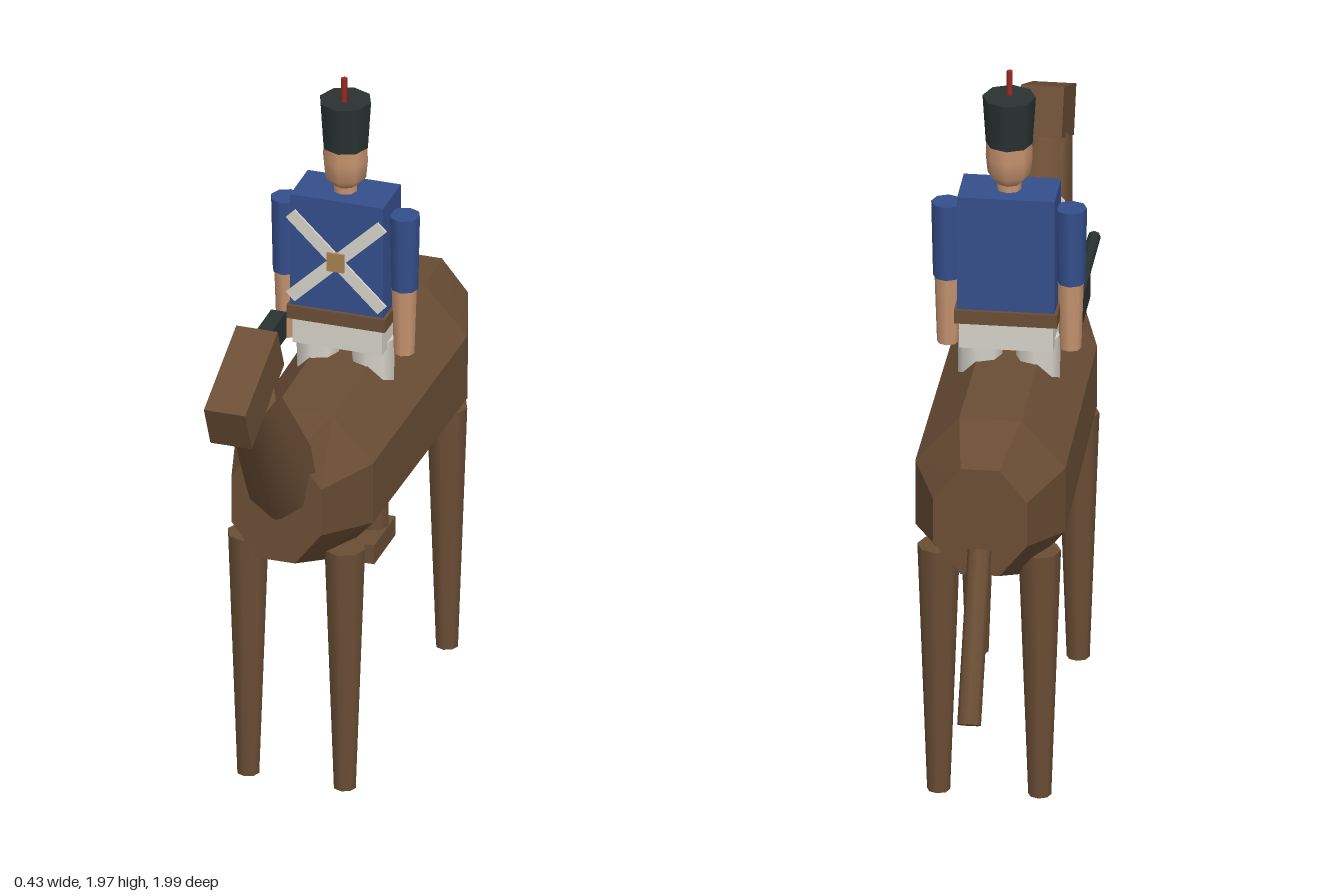
import * as THREE from 'three';

const mat = (name, color) => {
  const m = new THREE.MeshStandardMaterial({ color });
  m.name = name;
  return m;
};

export function createModel() {
  const model = new THREE.Group();
  model.name = 'riderOnHorse';
  const brown = mat('horse brown', 0x6b4e35);
  const blue = mat('coat blue', 0x354f8c);
  const skin = mat('skin', 0xc6946f);
  const black = mat('hat black', 0x2a3232);
  const white = mat('trouser white', 0xd6d2c8);
  const red = mat('plume red', 0x9c2a22);
  const tan = mat('buckle tan', 0xa8824f);

  const add = (parent, name, geometry, material, x = 0, y = 0, z = 0) => {
    const mesh = new THREE.Mesh(geometry, material);
    mesh.name = name;
    mesh.position.set(x, y, z);
    parent.add(mesh);
    return mesh;
  };
  const box = (parent, name, size, pos, material) =>
    add(parent, name, new THREE.BoxGeometry(...size), material, ...pos);
  // Tapered round part running from point a (radius ra) to point b (radius rb)
  const limb = (parent, name, a, b, ra, rb, material, sides = 8) => {
    const p = new THREE.Vector3(...a), q = new THREE.Vector3(...b);
    const dir = q.clone().sub(p);
    const mesh = add(parent, name, new THREE.CylinderGeometry(rb, ra, dir.length(), sides), material);
    mesh.position.copy(p).add(q).multiplyScalar(0.5);
    mesh.quaternion.setFromUnitVectors(new THREE.Vector3(0, 1, 0), dir.normalize());
    return mesh;
  };

  // ---- Horse ----
  const horse = new THREE.Group();
  horse.name = 'horse';
  model.add(horse);

  // Faceted barrel through octagonal sections: [z, centre y, half width, half height]
  const sections = [
    [0.55, 0.935, 0.13, 0.17],
    [0.31, 0.888, 0.2, 0.222],
    [-0.48, 0.887, 0.208, 0.233],
    [-0.72, 0.92, 0.13, 0.16],
  ];
  const rings = sections.map(([z, cy, rx, ry]) =>
    Array.from({ length: 8 }, (_, i) => {
      const t = (i + 0.5) * Math.PI / 4, k = 1 / Math.cos(Math.PI / 8);
      return [rx * k * Math.cos(t), cy + ry * k * Math.sin(t), z];
    }));
  const verts = [];
  const tri = (...pts) => pts.forEach((p) => verts.push(...p));
  const last = sections.length - 1;
  for (let i = 0; i < 8; i++) {
    const j = (i + 1) % 8;
    for (let s = 0; s < last; s++) {
      const [f, b] = [rings[s], rings[s + 1]];
      tri(f[i], b[i], b[j]);
      tri(f[i], b[j], f[j]);
    }
    tri([0, sections[0][1], sections[0][0]], rings[0][i], rings[0][j]);
    tri([0, sections[last][1], sections[last][0]], rings[last][j], rings[last][i]);
  }
  const barrel = new THREE.BufferGeometry();
  barrel.setAttribute('position', new THREE.Float32BufferAttribute(verts, 3));
  barrel.computeVertexNormals();
  add(horse, 'horseBody', barrel, brown);

  limb(horse, 'horseNeck', [0, 0.96, 0.465], [0, 1.39, 0.78], 0.112, 0.076, brown);
  box(horse, 'horseHead', [0.12, 0.142, 0.306], [0, 1.442, 0.828], brown).rotation.x = 0.413;
  limb(horse, 'horseTail', [0, 0.84, -0.728], [0, 0.42, -0.968], 0.033, 0.033, brown);
  for (const x of [-0.14, 0.14]) {
    limb(horse, 'frontLeg', [x, 0, 0.375], [x, 0.745, 0.375], 0.032, 0.059, brown);
    limb(horse, 'rearLeg', [x, 0, -0.507], [x, 0.745, -0.507], 0.032, 0.059, brown);
  }

  // ---- Rider ----
  const rider = new THREE.Group();
  rider.name = 'rider';
  rider.position.z = -0.048;
  model.add(rider);

  box(rider, 'torso', [0.27, 0.345, 0.152], [0, 1.448, 0], blue);
  box(rider, 'belt', [0.286, 0.04, 0.172], [0, 1.26, 0], brown);
  box(rider, 'hips', [0.26, 0.08, 0.142], [0, 1.2, 0], white);

  // Crossed chest straps with buckle
  for (const s of [-1, 1]) {
    box(rider, 'chestStrap', [0.37, 0.036, 0.008], [0, 1.435, 0.079], white).rotation.z = s * 0.77;
  }
  box(rider, 'strapBuckle', [0.05, 0.056, 0.014], [0, 1.435, 0.082], tan);

  for (const s of [-1, 1]) {
    // Arms
    limb(rider, 'sleeve', [s * 0.172, 1.345, 0], [s * 0.172, 1.57, 0], 0.039, 0.044, blue);
    limb(rider, 'forearm', [s * 0.17, 1.145, 0], [s * 0.17, 1.35, 0], 0.03, 0.037, skin);
    // Legs pass through the horse; boots show below
    limb(rider, 'thigh', [s * 0.08, 0.9, 0], [s * 0.08, 1.18, 0], 0.06, 0.062, white);
    limb(rider, 'bootShaft', [s * 0.08, 0.58, 0], [s * 0.08, 0.9, 0], 0.044, 0.046, brown);
    box(rider, 'boot', [0.09, 0.058, 0.184], [s * 0.08, 0.567, 0.032], brown);
  }

  // Head and tall hat
  limb(rider, 'neck', [0, 1.6, 0], [0, 1.67, 0], 0.034, 0.034, skin);
  const headProfile = [[0, 1.636], [0.034, 1.64], [0.06, 1.668], [0.065, 1.72], [0.063, 1.78]]
    .map(([r, y]) => new THREE.Vector2(r, y));
  add(rider, 'head', new THREE.LatheGeometry(headProfile, 8), skin);
  limb(rider, 'hat', [0, 1.76, 0], [0, 1.9, 0], 0.065, 0.074, black);
  limb(rider, 'plume', [0, 1.89, 0.012], [0, 1.972, 0.012], 0.009, 0.009, red, 6);

  // Musket held in the right hand
  box(rider, 'gunStock', [0.044, 0.08, 0.2], [-0.17, 1.21, 0.17], black);
  limb(rider, 'gunBarrel', [-0.17, 1.223, 0.26], [-0.17, 1.223, 0.543], 0.018, 0.018, black);

  return model;
}
